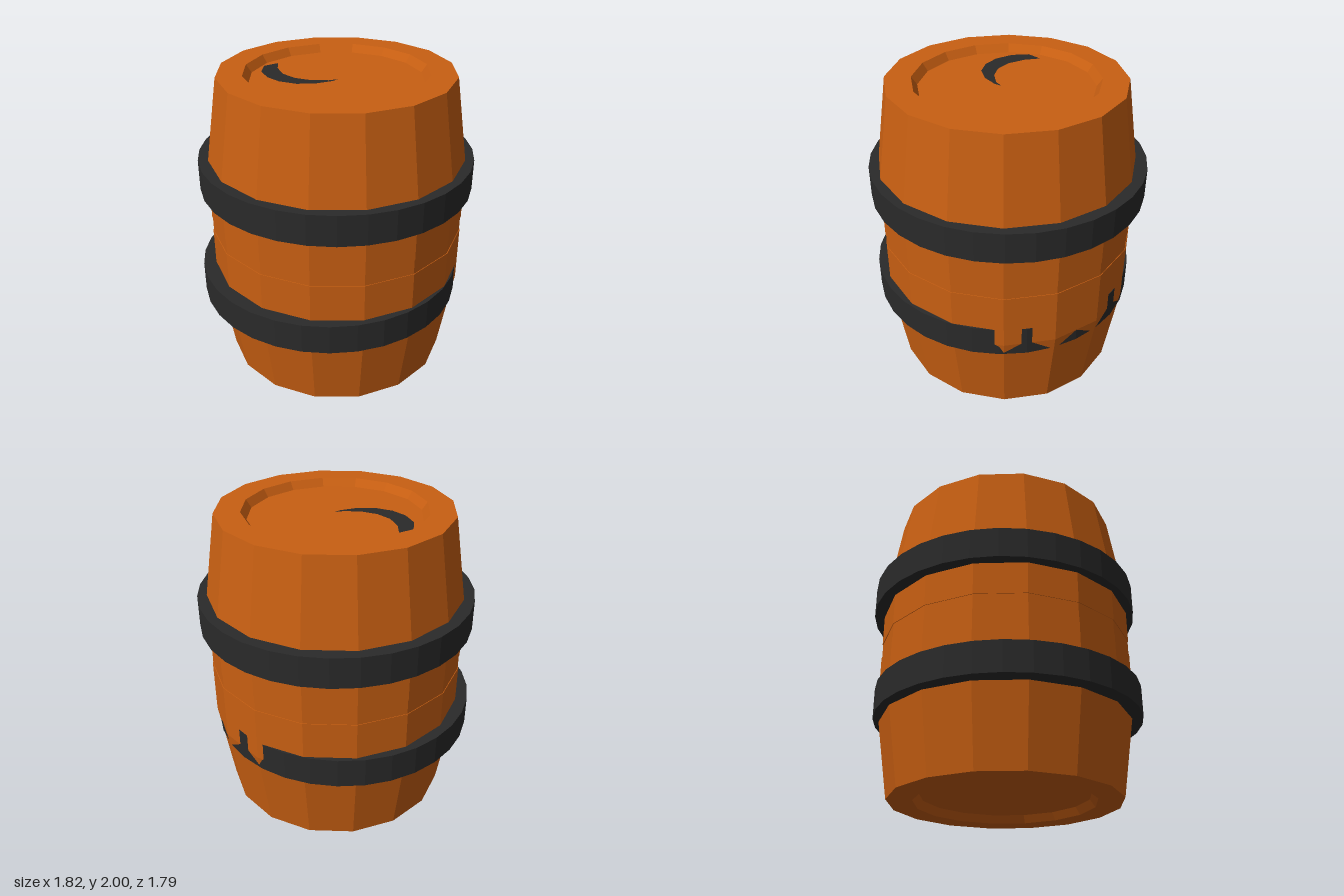
import * as THREE from 'three';

const wood = new THREE.MeshStandardMaterial({ color: 0xc85f12, flatShading: true });
const iron = new THREE.MeshStandardMaterial({ color: 0x2a2a2a, flatShading: true });

// Faceted turned part from [radius, height] pairs
function turned(name, profile, sides, material, x, z) {
  const points = profile.map(([r, y]) => new THREE.Vector2(r, y));
  const mesh = new THREE.Mesh(new THREE.LatheGeometry(points, sides), material);
  mesh.name = name;
  mesh.position.set(x, 0, z);
  return mesh;
}

// Closed iron band with a rectangular section
function hoop(name, inner, outer, bottom, top, x, z) {
  const section = [[inner, bottom], [outer, bottom], [outer, top], [inner, top], [inner, bottom]];
  return turned(name, section, 32, iron, x, z);
}

export function createModel() {
  const barrel = new THREE.Group();
  barrel.name = 'barrel';

  // Sixteen-sided body with recessed ends and a shallow groove round the middle
  const lower = [
    [0, 0.05], [0.55, 0.05], [0.585, 0], [0.75, 0],
    [0.84, 0.58], [0.84, 0.95], [0.836, 0.95],
  ];
  const upper = lower.map(([r, y]) => [r, 2 - y]).reverse();
  barrel.add(turned('body', [...lower, ...upper], 16, wood, 0.012, 0.015));

  // Upper hoop, and a slightly shifted lower hoop that sinks into the left side
  barrel.add(hoop('upperHoop', 0.78, 0.896, 1.26, 1.46, 0.014, 0.005));
  barrel.add(hoop('lowerHoop', 0.755, 0.874, 0.5, 0.7, -0.037, 0.004));

  // Dark crescent lying on the recessed lid
  const crescent = new THREE.Shape([
    [-0.25, 0.44], [-0.32, 0.35], [-0.345, 0.23], [-0.325, 0.12], [-0.26, 0.02], [-0.16, -0.04],
    [-0.05, -0.06], [0, -0.05], [-0.06, -0.035], [-0.15, 0.03], [-0.21, 0.12], [-0.23, 0.23],
    [-0.2, 0.35], [-0.145, 0.44],
  ].map(([x, y]) => new THREE.Vector2(x, y)));
  const mark = new THREE.Mesh(new THREE.ShapeGeometry(crescent), iron);
  mark.name = 'lidMark';
  mark.rotation.x = -Math.PI / 2;
  mark.position.y = 1.953;
  barrel.add(mark);

  return barrel;
}
